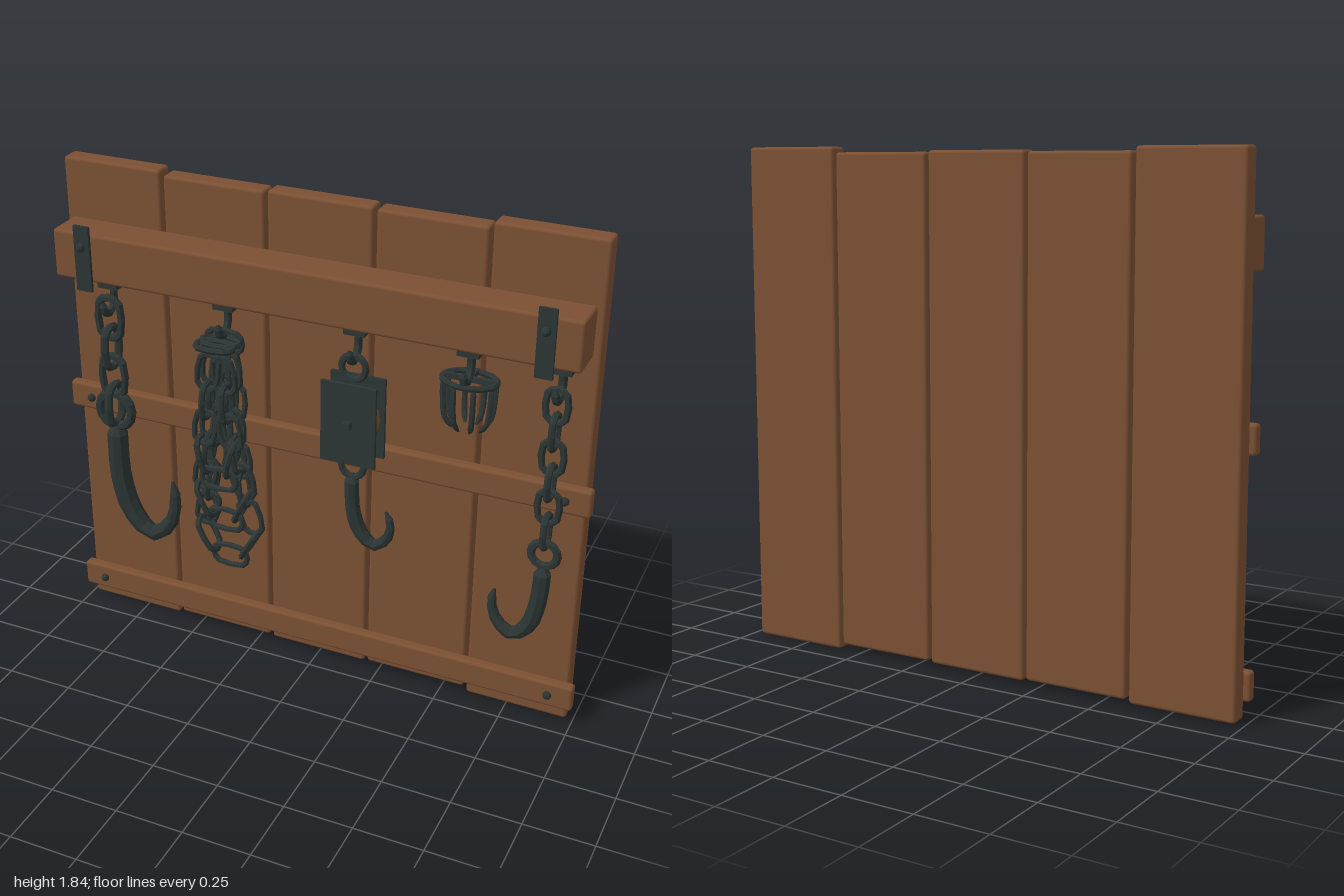
import * as THREE from 'three';
import { RoundedBoxGeometry } from 'three/addons/geometries/RoundedBoxGeometry.js';

const V = (x, y, z = 0) => new THREE.Vector3(x, y, z);

export function createModel() {
  const root = new THREE.Group();
  const wood = new THREE.MeshStandardMaterial({ color: 0x7b5033 });
  wood.name = 'brown wood';
  const iron = new THREE.MeshStandardMaterial({ color: 0x2b3434, flatShading: true });
  iron.name = 'dark iron';

  const add = (name, geo, mat, x = 0, y = 0, z = 0, parent = root) => {
    const m = new THREE.Mesh(geo, mat);
    m.name = name;
    m.position.set(x, y, z);
    parent.add(m);
    return m;
  };
  const group = (name) => {
    const g = new THREE.Group();
    g.name = name;
    root.add(g);
    return g;
  };
  // box given by its limits, with softened edges
  const timber = (name, x0, x1, y0, y1, z0, z1) =>
    add(name, new RoundedBoxGeometry(x1 - x0, y1 - y0, z1 - z0, 2, 0.012), wood,
      (x0 + x1) / 2, (y0 + y1) / 2, (z0 + z1) / 2);
  const stud = (name, x, y, z, r = 0.016) => {
    const m = add(name, new THREE.SphereGeometry(r, 10, 6), iron, x, y, z);
    m.scale.z = 1.1;
  };

  // chain link: a torus stretched along y
  const linkGeo = (w, len, t) => {
    const R = w / 2 - t, s = (len - w) / 2;
    const geo = new THREE.TorusGeometry(R, t, 6, 12);
    const p = geo.attributes.position;
    for (let i = 0; i < p.count; i++) {
      const y = p.getY(i);
      p.setY(i, y + s * THREE.MathUtils.clamp(y / (R * 0.45), -1, 1));
    }
    geo.computeVertexNormals();
    return geo;
  };
  // links along a curve lying in an xy plane, every second one turned by 90 degrees
  const chain = (parent, curve, count, closed, w, len, t) => {
    const geo = linkGeo(w, len, t), N = V(0, 0, 1);
    for (let i = 0; i < count; i++) {
      const u = i / (closed ? count : count - 1);
      const T = curve.getTangentAt(u), B = T.clone().cross(N);
      const m = add('chainLink', geo, iron, 0, 0, 0, parent);
      const basis = new THREE.Matrix4();
      if (i % 2 === 0) basis.makeBasis(B, T, N);
      else basis.makeBasis(N, T, B.clone().negate());
      m.quaternion.setFromRotationMatrix(basis);
      m.position.copy(curve.getPointAt(u));
    }
  };
  // tube whose radius follows a rule, closed at both ends
  const taperTube = (pts, n, sides, radius) => {
    const curve = new THREE.CatmullRomCurve3(pts);
    const geo = new THREE.TubeGeometry(curve, n, 1, sides, false);
    const p = geo.attributes.position, v = V(0, 0);
    for (let i = 0; i <= n; i++) {
      const c = curve.getPointAt(i / n);
      const r = i === 0 || i === n ? 0.004 : radius(i / n);
      for (let j = 0; j <= sides; j++) {
        const k = i * (sides + 1) + j;
        v.fromBufferAttribute(p, k).sub(c).multiplyScalar(r).add(c);
        p.setXYZ(k, v.x, v.y, v.z);
      }
    }
    geo.computeVertexNormals();
    return geo;
  };
  const Z = 0.035;
  const hook = (parent, pts, r) => add('hook', taperTube(pts.map(([x, y]) => V(x, y, Z)), 14, 8,
    (u) => r * (u < 0.45 ? 1 : 1 - 0.55 * (u - 0.45) / 0.55)), iron, 0, 0, 0, parent);
  const ring = (parent, name, x, y, outer, t) =>
    add(name, new THREE.TorusGeometry(outer - t, t, 6, 14), iron, x, y, Z, parent);

  // back boards
  [[-0.98, -0.6, 0.01, 1.83], [-0.587, -0.205, 0.02, 1.815], [-0.193, 0.188, 0.015, 1.82],
    [0.2, 0.583, 0.02, 1.815], [0.595, 0.975, 0, 1.835]]
    .forEach(([a, b, c, d]) => timber('backBoard', a, b, c, d, -0.16, -0.087));

  // beam and rails
  timber('beam', -0.955, 0.95, 1.437, 1.615, -0.09, 0.055);
  [[0.867, 0.97], [0.065, 0.167]].forEach(([a, b]) => {
    timber('rail', -1, 1, a, b, -0.09, -0.048);
    for (const s of [-1, 1]) stud('railStud', s * 0.91, (a + b) / 2, -0.046);
  });

  // iron straps on the beam
  for (const s of [-1, 1]) {
    add('strap', new THREE.BoxGeometry(0.06, 0.24, 0.012), iron, s * 0.833, 1.525, 0.061);
    stud('strapStud', s * 0.833, 1.57, 0.072);
  }

  // hangers below the beam
  for (const x of [-0.757, -0.305, 0.18, 0.575, 0.88]) {
    const g = group('hanger');
    add('hangerPlate', new THREE.BoxGeometry(0.075, 0.022, 0.07), iron, x, 1.427, 0.005, g);
    add('hangerPeg', taperTube([V(x, 1.42, 0), V(x, 1.36, 0), V(x, 1.325, 0.03),
      V(x, 1.34, 0.065), V(x, 1.38, 0.075)], 10, 6, () => 0.015), iron, 0, 0, 0, g);
  }

  // large hook on a chain, left of the picture plane
  const big = group('largeHook');
  chain(big, new THREE.LineCurve3(V(-0.757, 1.305, Z), V(-0.757, 0.965, Z)), 4, false, 0.125, 0.185, 0.015);
  ring(big, 'hookRing', -0.757, 0.94, 0.085, 0.019);
  hook(big, [[-0.757, 0.9], [-0.757, 0.8], [-0.753, 0.67], [-0.715, 0.53], [-0.632, 0.445],
    [-0.555, 0.5], [-0.525, 0.6], [-0.535, 0.69]], 0.039);

  // small hook on a chain
  const small = group('smallHook');
  chain(small, new THREE.LineCurve3(V(0.877, 1.305, Z), V(0.877, 0.84, Z)), 6, false, 0.1, 0.145, 0.012);
  ring(small, 'hookRing', 0.877, 0.75, 0.061, 0.015);
  hook(small, [[0.877, 0.71], [0.875, 0.62], [0.865, 0.53], [0.84, 0.45], [0.785, 0.402],
    [0.73, 0.44], [0.707, 0.51], [0.715, 0.57]], 0.03);

  // pulley block: two cheeks, wooden wheel, axle and hook
  const pulley = group('pulley');
  ring(pulley, 'pulleyTopRing', 0.18, 1.3, 0.057, 0.013);
  for (const z of [-0.008, 0.076])
    add('pulleyCheek', new THREE.BoxGeometry(0.2, 0.3, 0.012), iron, 0.18, 1.105, z, pulley);
  const wheel = add('pulleyWheel', new THREE.CylinderGeometry(0.09, 0.09, 0.05, 16), wood, 0.18, 1.105, Z, pulley);
  const axle = add('pulleyAxle', new THREE.CylinderGeometry(0.018, 0.018, 0.135, 8), iron, 0.18, 1.105, Z, pulley);
  wheel.rotation.x = axle.rotation.x = Math.PI / 2;
  ring(pulley, 'pulleyBottomRing', 0.18, 0.925, 0.055, 0.013);
  hook(pulley, [[0.18, 0.9], [0.18, 0.82], [0.187, 0.74], [0.213, 0.67], [0.264, 0.625],
    [0.315, 0.665], [0.327, 0.72], [0.307, 0.772]], 0.027);

  // small basket of bent prongs
  const basket = group('basket');
  basket.position.set(0.575, 0, 0.005);
  basket.scale.z = 0.72;
  const rim = add('basketRim', new THREE.TorusGeometry(0.093, 0.011, 6, 14), iron, 0, 1.322, 0, basket);
  rim.rotation.x = Math.PI / 2;
  for (let i = 0; i < 8; i++) {
    const a = (i + 0.5) * Math.PI / 4, c = Math.cos(a), s = Math.sin(a);
    const at = (r, y) => V(c * r, y, s * r);
    add('basketProng', taperTube([at(0.09, 1.325), at(0.088, 1.25), at(0.078, 1.18), at(0.05, 1.145)],
      8, 6, () => 0.01), iron, 0, 0, 0, basket);
  }
  for (const r of [0, Math.PI / 2]) {
    const bar = add('basketCrossBar', new THREE.BoxGeometry(0.19, 0.018, 0.02), iron, 0, 1.325, 0, basket);
    bar.rotation.y = r;
  }

  // bundle of hanging chain loops: [bottom, lower half width, z, top]
  const bundle = group('chainBundle');
  bundle.position.x = -0.305;
  [[0.43, 0.095, 0.03, 1.3], [0.6, 0.08, 0.06, 1.31], [0.79, 0.055, 0.1, 1.31]].forEach(([b, w, z, top]) => {
    const side = [[0.03, top - 0.1], [0.035, (top + b) / 2 + 0.1], [w * 0.75, b + 0.25], [w, b + 0.09]];
    const pts = [V(0, b, z), ...side.slice().reverse().map(([x, y]) => V(x, y, z)),
      V(0, top, z), ...side.map(([x, y]) => V(-x, y, z))];
    const loop = new THREE.CatmullRomCurve3(pts, true);
    const count = 2 * Math.round(loop.getLength() / 0.23);
    chain(bundle, loop, count, true, 0.105, 0.16, 0.011);
  });

  return root;
}
